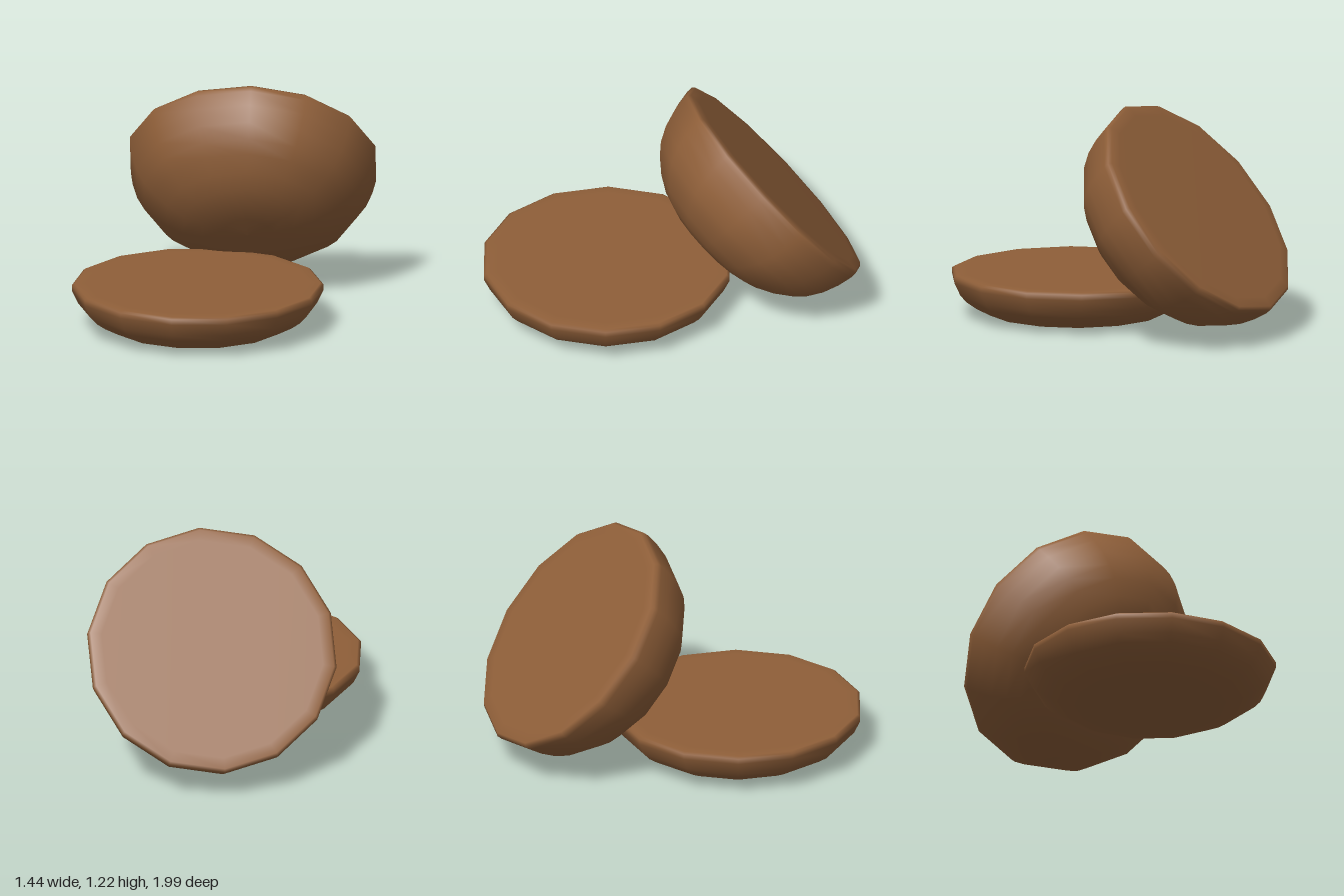
import * as THREE from 'three';

const SIDES = 14;

// Round half turned from [radius, height] points, listed bottom to top.
function roundHalf(name, profile, material) {
  const points = profile.map(([r, y]) => new THREE.Vector2(r, y));
  const mesh = new THREE.Mesh(new THREE.LatheGeometry(points, SIDES), material);
  mesh.name = name;
  return mesh;
}

export function createModel() {
  const group = new THREE.Group();
  group.name = 'bun';
  const crust = new THREE.MeshStandardMaterial({ color: 0x8f5f39 });
  crust.name = 'brown crust';

  // Shallow lower half lying flat, cut face up
  const bottom = roundHalf('bottomHalf', [
    [0, 0], [0.39, 0.002], [0.48, 0.02], [0.555, 0.06], [0.605, 0.095], [0.642, 0.135],
    [0.675, 0.205], [0.675, 0.235], [0.66, 0.245], [0.6, 0.246], [0, 0.246],
  ], crust);
  bottom.position.set(-0.065, 0, 0.32);
  group.add(bottom);

  // Deep domed half leaning back, dome to the front, cut face up and back
  const top = roundHalf('topHalf', [
    [0, -0.508], [0.14, -0.502], [0.25, -0.49], [0.36, -0.457], [0.45, -0.405], [0.53, -0.34],
    [0.585, -0.28], [0.63, -0.2], [0.66, -0.11], [0.675, -0.03], [0.675, 0],
    [0.66, 0.015], [0.6, 0.018], [0, 0.018],
  ], crust);
  const up = new THREE.Vector3(-0.107, 0.637, -0.763).normalize();
  const side = new THREE.Vector3().crossVectors(up, new THREE.Vector3(0.667, 0.1, -0.01)).normalize();
  const forward = new THREE.Vector3().crossVectors(side, up);
  top.quaternion.setFromRotationMatrix(new THREE.Matrix4().makeBasis(side, up, forward));
  top.position.set(0.0475, 0.7, -0.57);
  group.add(top);

  return group;
}
